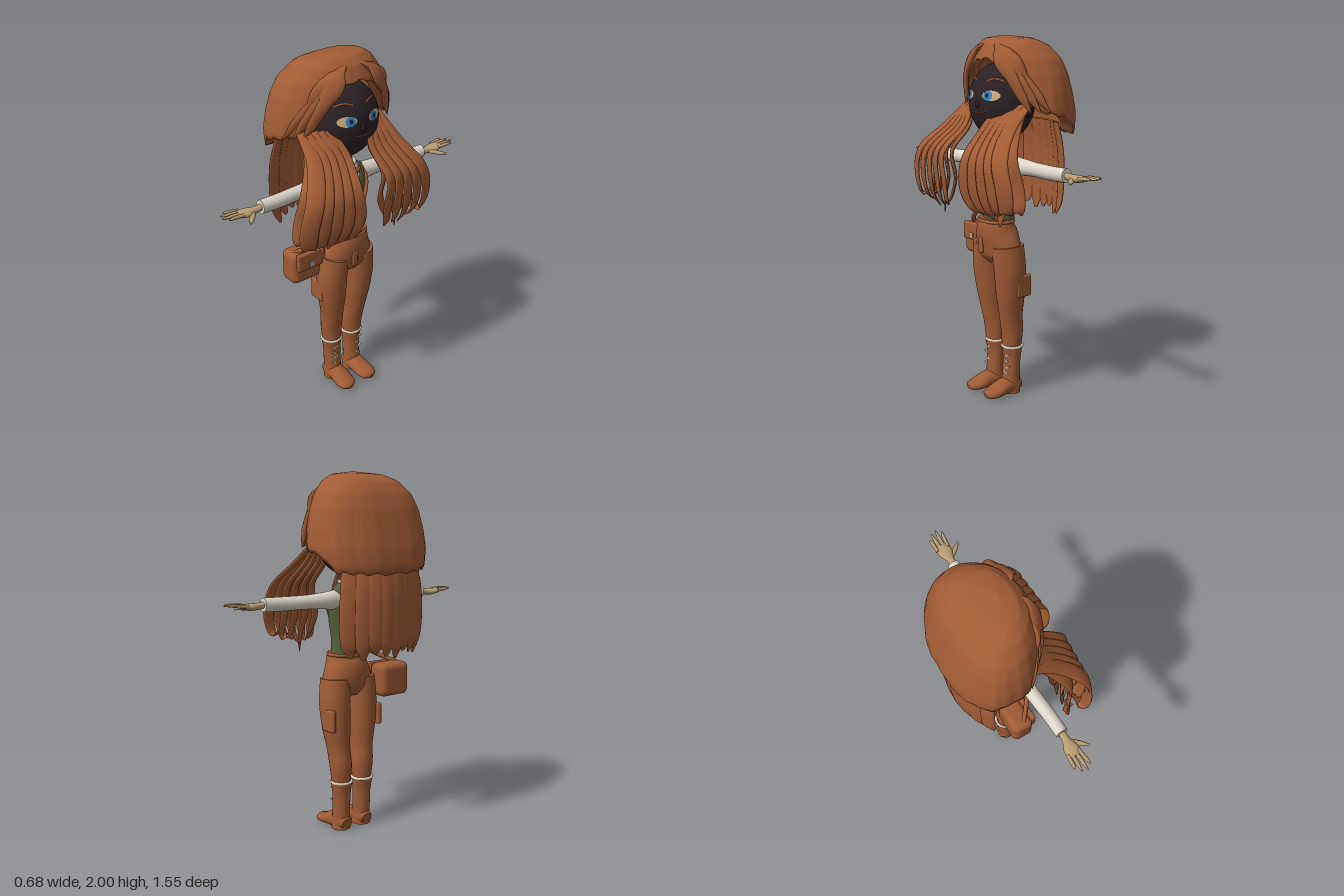
import * as THREE from 'three';
import { RoundedBoxGeometry } from 'three/addons/geometries/RoundedBoxGeometry.js';

const mat = (name, color, side = THREE.FrontSide) => new THREE.MeshStandardMaterial({ name, color, side });
const M = {
  hair: mat('hair brown', 0xa25c35, THREE.DoubleSide),
  leather: mat('leather brown', 0x9f5b34),
  green: mat('vest green', 0x52603a),
  cloth: mat('shirt cream', 0xdcd5c8, THREE.DoubleSide),
  skin: mat('skin tan', 0xba9d73),
  face: mat('face dark', 0x2b2125),
  eye: mat('eye sand', 0xd2b080),
  iris: mat('iris blue', 0x2f86c8),
  metal: mat('buckle metal', 0xb0a487),
};

// Piecewise linear lookup: rows are [key, ...values] with ascending keys
function lookup(rows, k, col = 1) {
  for (let i = 1; i < rows.length; i++) if (k <= rows[i][0] || i === rows.length - 1) {
    const a = rows[i - 1], b = rows[i];
    return THREE.MathUtils.lerp(a[col], b[col], THREE.MathUtils.clamp((k - a[0]) / (b[0] - a[0]), 0, 1));
  }
}

// Smooth sweep of ellipses; rings are [x, y, z, halfWidth, halfDepth], width runs along axis
function sweep(rings, axis = [1, 0, 0], sides = 16, steps = 6) {
  const path = new THREE.CatmullRomCurve3(rings.map(r => new THREE.Vector3(r[0], r[1], r[2])));
  const size = new THREE.CatmullRomCurve3(rings.map(r => new THREE.Vector3(r[3], r[4], 0)));
  const n = (rings.length - 1) * steps, pos = [], idx = [];
  const addRing = t => {
    const p = path.getPoint(t), s = size.getPoint(t), T = path.getTangent(t);
    const W = new THREE.Vector3(...axis).addScaledVector(T, -T.dot(new THREE.Vector3(...axis))).normalize();
    const N = T.clone().cross(W);
    for (let j = 0; j < sides; j++) {
      const a = j / sides * Math.PI * 2;
      const q = p.clone().addScaledVector(W, Math.cos(a) * Math.max(s.x, 0.001)).addScaledVector(N, Math.sin(a) * Math.max(s.y, 0.001));
      pos.push(q.x, q.y, q.z);
    }
    return p;
  };
  for (let i = 0; i <= n; i++) addRing(i / n);
  for (let i = 0; i < n; i++) for (let j = 0; j < sides; j++) {
    const a = i * sides + j, b = i * sides + (j + 1) % sides;
    idx.push(a, b, b + sides, a, b + sides, a + sides);
  }
  for (const end of [0, 1]) {
    const start = pos.length / 3, p = addRing(end), c = pos.length / 3;
    pos.push(p.x, p.y, p.z);
    for (let j = 0; j < sides; j++) {
      const a = start + j, b = start + (j + 1) % sides;
      end ? idx.push(c, a, b) : idx.push(c, b, a);
    }
  }
  return build(pos, idx);
}

function build(pos, idx) {
  const g = new THREE.BufferGeometry();
  g.setAttribute('position', new THREE.Float32BufferAttribute(pos, 3));
  g.setIndex(idx);
  g.computeVertexNormals();
  return g;
}

// Lays a flat geometry onto a surface z = f(x, y)
function drape(geo, x, y, f, lift = 0.004) {
  geo.translate(x, y, 0);
  const p = geo.attributes.position;
  for (let i = 0; i < p.count; i++) p.setZ(i, f(p.getX(i), p.getY(i)) + lift);
  geo.computeVertexNormals();
  return geo;
}

// Torso rows: [y, half width, centre z, half depth]
const torso = [[0.98, 0.103, 0.045, 0.075], [1.08, 0.1, 0.042, 0.08], [1.2, 0.113, 0.045, 0.092],
  [1.29, 0.125, 0.04, 0.088], [1.36, 0.115, 0.03, 0.07], [1.41, 0.06, 0.03, 0.045]];
const torsoZ = (x, y) => {
  const w = lookup(torso, y, 1);
  return lookup(torso, y, 2) + lookup(torso, y, 3) * Math.sqrt(Math.max(0, 1 - (x / w) ** 2));
};
const faceZ = (x, y) => 0.02 + 0.165 * Math.sqrt(Math.max(0, 1 - (x / 0.2) ** 2 - ((y - 1.65) / 0.21) ** 2));

// Hair cap rows: [y, half width, front z, back z, centre z]; hem rows: [degrees from front, y]
const capRows = [[1.45, 0.32, 0.06, -0.325, -0.1], [1.5, 0.345, 0.09, -0.34, -0.1], [1.6, 0.36, 0.12, -0.33, -0.1],
  [1.7, 0.35, 0.145, -0.305, -0.1], [1.8, 0.325, 0.15, -0.28, -0.1], [1.88, 0.29, 0.137, -0.25, -0.09],
  [1.95, 0.225, 0.11, -0.2, -0.06], [1.985, 0.155, 0.07, -0.12, -0.03], [2, 0, 0, 0, 0]];
const hem = [[0, 1.88], [18, 1.86], [29, 1.81], [39, 1.73], [50, 1.65], [63, 1.61], [90, 1.585], [105, 1.55], [120, 1.485], [180, 1.47]];
function hairCap() {
  const cols = 144, rows = 28, pos = [], idx = [], fat = v => Math.sign(v) * Math.abs(v) ** 0.82;
  for (let i = 0; i <= rows + 1; i++) for (let j = 0; j < cols; j++) {
    const a = j / cols * Math.PI * 2, s = Math.min(i / rows, 1);
    const deg = Math.abs(a > Math.PI ? a - Math.PI * 2 : a) * 180 / Math.PI;
    const edge = lookup(hem, deg) + 0.006 * Math.sin(a * 20);
    const y = 2 - (2 - edge) * s ** 1.6, tuck = i > rows ? 0.78 : 1;
    const r = tuck * (1 + 0.005 * s * Math.sin(a * 24) + 0.008 * s * Math.sin(a * 9 + 1));
    // Round at the front, boxier at the back, slightly fuller on the right
    const c0 = Math.cos(a), s0 = Math.sin(a), c = c0 > 0 ? c0 : fat(c0), sn = (c0 > 0 ? s0 : fat(s0)) * (s0 < 0 ? 1.02 : 0.96);
    const mid = lookup(capRows, y, 4), reach = c > 0 ? lookup(capRows, y, 2) - mid : mid - lookup(capRows, y, 3);
    pos.push(lookup(capRows, y) * sn * r, y + (tuck < 1 ? 0.025 : 0), mid + reach * c * r);
  }
  for (let i = 0; i <= rows; i++) for (let j = 0; j < cols; j++) {
    const a = i * cols + j, b = i * cols + (j + 1) % cols;
    idx.push(a, a + cols, b + cols, a, b + cols, b);
  }
  return build(pos, idx);
}

export function createModel() {
  const body = new THREE.Group();
  body.name = 'figure';
  const add = (name, geo, material, x = 0, y = 0, z = 0) => {
    const m = new THREE.Mesh(geo, material);
    m.name = name;
    m.position.set(x, y, z);
    body.add(m);
    return m;
  };

  // Torso, shirt front and neck
  add('vest', sweep(torso.map(([y, w, z, d]) => [0, y, z, w, d]), [1, 0, 0], 28), M.green);
  add('neck', sweep([[0, 1.36, 0.03, 0.05, 0.045], [0, 1.5, 0.02, 0.045, 0.045]]), M.skin);
  const vee = new THREE.PlaneGeometry(1, 0.17, 8, 10);
  for (let i = 0, p = vee.attributes.position; i < p.count; i++) p.setX(i, p.getX(i) * (0.012 + 0.1 * (p.getY(i) / 0.17 + 0.5)));
  add('shirtFront', drape(vee, 0, 1.315, torsoZ, 0.006), M.cloth);
  const collar = add('collar', new THREE.TorusGeometry(0.052, 0.014, 8, 24), M.cloth, 0, 1.405, 0.03);
  collar.rotation.x = Math.PI / 2;
  for (const s of [-1, 1]) {
    add('bowLoop', sweep([[0, 1.375, 0.11, 0.006, 0.008], [s * 0.025, 1.38, 0.115, 0.02, 0.01], [s * 0.045, 1.378, 0.105, 0.017, 0.006]], [0, 1, 0], 10), M.leather);
    add('bowTail', sweep([[0, 1.375, 0.112, 0.006, 0.005], [s * 0.012, 1.345, 0.122, 0.01, 0.005], [s * 0.02, 1.31, 0.135, 0.008, 0.004]], [1, 0, 0], 8), M.leather);
  }
  for (const y of [1.05, 1.11, 1.17, 1.22]) add('button', new THREE.SphereGeometry(0.007, 8, 6), M.metal, 0, y, torsoZ(0, y));

  // Trousers
  add('hips', sweep([[0, 1.015, 0.06, 0.108, 0.088], [0, 0.97, 0.062, 0.118, 0.098], [0, 0.9, 0.05, 0.148, 0.102],
    [0, 0.82, 0.045, 0.168, 0.09], [0, 0.77, 0.04, 0.14, 0.055]], [1, 0, 0], 28), M.leather);
  const belt = add('waistband', new THREE.TorusGeometry(0.1, 0.01, 8, 32), M.leather, 0, 1.005, 0.06);
  belt.rotation.x = Math.PI / 2;
  belt.scale.set(1.06, 0.88, 1);
  add('fob', new RoundedBoxGeometry(0.035, 0.09, 0.015, 2, 0.007), M.leather, -0.02, 0.87, 0.152);

  for (const s of [-1, 1]) {
    // Legs and boots
    add('leg', sweep([[s * 0.085, 0.87, 0.047, 0.08, 0.095], [s * 0.095, 0.74, 0.04, 0.085, 0.092], [s * 0.09, 0.6, 0.032, 0.08, 0.082],
      [s * 0.082, 0.47, 0.022, 0.064, 0.068], [s * 0.077, 0.38, 0.01, 0.064, 0.062], [s * 0.074, 0.27, 0.01, 0.055, 0.052]], [1, 0, 0], 22), M.leather);
    add('boot', sweep([[s * 0.074, 0.28, 0.006, 0.062, 0.058], [s * 0.073, 0.2, 0.008, 0.053, 0.048], [s * 0.073, 0.1, 0.012, 0.051, 0.05],
      [s * 0.073, 0.005, 0.015, 0.054, 0.054]], [1, 0, 0], 20), M.leather);
    add('foot', sweep([[s * 0.073, 0.04, -0.042, 0.035, 0.03], [s * 0.073, 0.048, 0, 0.052, 0.048], [s * 0.074, 0.046, 0.07, 0.054, 0.046],
      [s * 0.078, 0.032, 0.14, 0.058, 0.03], [s * 0.08, 0.027, 0.18, 0.045, 0.024], [s * 0.08, 0.024, 0.198, 0.015, 0.012]], [1, 0, 0], 18), M.leather);
    const cuff = add('bootCuff', new THREE.TorusGeometry(0.057, 0.008, 8, 24), M.cloth, s * 0.074, 0.282, 0.006);
    cuff.rotation.x = Math.PI / 2;
    for (let i = 0; i < 4; i++) {
      const lace = add('lace', new THREE.BoxGeometry(0.035, 0.008, 0.008), M.cloth, s * 0.09 + (i % 2 ? 0.008 : -0.008), 0.13 + i * 0.035, 0.056);
      lace.rotation.z = i % 2 ? 0.5 : -0.5;
    }
    add('thighPocket', new RoundedBoxGeometry(0.03, 0.125, 0.1, 3, 0.012), M.leather, s * 0.163, 0.65, 0);

    // Arms and hands
    add('sleeve', sweep([[s * 0.09, 1.315, 0.03, 0.05, 0.055], [s * 0.18, 1.315, 0.025, 0.045, 0.046], [s * 0.3, 1.315, 0.03, 0.037, 0.038],
      [s * 0.44, 1.315, 0.042, 0.036, 0.038], [s * 0.55, 1.318, 0.046, 0.034, 0.037]], [0, 0, 1], 18), M.cloth);
    add('hand', sweep([[s * 0.54, 1.317, 0.047, 0.018, 0.017], [s * 0.59, 1.313, 0.047, 0.022, 0.018], [s * 0.64, 1.313, 0.045, 0.04, 0.018],
      [s * 0.685, 1.32, 0.042, 0.038, 0.011]], [0, 0, 1], 14), M.skin);
    [[0.01, 0.002, 0.74], [0.031, 0.028, 0.768], [0.053, 0.057, 0.776], [0.073, 0.085, 0.755]].forEach(([z0, z1, tip]) =>
      add('finger', sweep([[s * 0.66, 1.32, z0, 0.01, 0.01], [s * 0.72, 1.326, (z0 + z1) / 2, 0.01, 0.009], [s * tip, 1.328, z1, 0.004, 0.004]], [0, 0, 1], 8, 4), M.skin));
    add('thumb', sweep([[s * 0.595, 1.31, 0.05, 0.014, 0.013], [s * 0.635, 1.302, 0.1, 0.014, 0.011], [s * 0.668, 1.3, 0.137, 0.005, 0.005]], [1, 0, 0], 8, 4), M.skin);

    // Face details
    const oval = (w, h) => new THREE.RingGeometry(0.0001, 1, 24, 4).scale(w, h, 1);
    add('eye', drape(oval(0.05, 0.027), s * 0.088, 1.69, faceZ, 0.003), M.eye);
    add('iris', drape(oval(0.026, 0.027), s * 0.074, 1.69, faceZ, 0.006), M.iris);
    add('pupil', drape(oval(0.01, 0.012), s * 0.074, 1.692, faceZ, 0.009), M.face);
    add('brow', sweep([0.04, 0.085, 0.13].map((x, i) => [s * x, 1.762 + [0, 0.015, 0][i], faceZ(x, 1.77), 0.006, 0.004]), [0, 1, 0], 8), M.hair);
    add('ear', new THREE.SphereGeometry(0.04, 12, 10).scale(0.5, 1, 0.8), M.face, s * 0.195, 1.62, 0);
  }

  // Head
  add('head', new THREE.SphereGeometry(1, 40, 28).scale(0.2, 0.21, 0.165), M.face, 0, 1.65, 0.02);
  add('nose', new THREE.SphereGeometry(0.018, 12, 10).scale(0.9, 1.3, 1), M.face, 0, 1.645, 0.178);
  add('mouth', sweep([-0.06, -0.02, 0.02, 0.06].map(x => [x, 1.6 + x * x * 2, faceZ(x, 1.6), 0.003, 0.003]), [0, 1, 0], 6), M.hair);

  // Hair
  add('hairCap', hairCap(), M.hair);
  for (const s of [-1, 1]) {
    for (const k of [0, 1, 2]) add('bang', sweep([[s * 0.02, 1.955 - k * 0.012, 0.06, 0.015, 0.01], [s * (0.1 + k * 0.02), 1.93 - k * 0.02, 0.105, 0.035, 0.014],
      [s * (0.19 + k * 0.02), 1.8 - k * 0.01, 0.115 - k * 0.025, 0.035, 0.014], [s * (0.24 + k * 0.03), 1.69, 0.08 - k * 0.03, 0.028, 0.012],
      [s * (0.28 + k * 0.035), 1.61, 0.05 - k * 0.035, 0.004, 0.003]], [1, -0.3 * s, -0.5 * s], 10), M.hair);
    // Front tails: two overlapping layers of broad locks arcing forward and down
    const shift = s < 0 ? 0.07 : 0, inner = s < 0 ? 0.02 : -0.035;
    for (let i = 0; i < 9; i++) {
      const u = i / 8, back = 0.015 * u + (i % 2 ? 0.085 : 0), tip = 1.015 + 0.18 * Math.abs(u - 0.35) + 0.02 * (i % 3);
      const o = shift + 0.03 * (i % 2), axis = [1, 0, -s * (i % 2 ? 0.7 : 0.4)];
      add('tailLock', sweep([[s * (0.14 + 0.12 * u + inner), 1.64, 0.1 - 0.07 * u, 0.025, 0.011], [s * (0.11 + 0.17 * u + inner), 1.52, 0.18 - back * 0.6, 0.042, 0.012],
        [s * (0.09 + 0.23 * u + shift), 1.38, 0.305 - back, 0.048, 0.011], [s * (0.07 + 0.29 * u + shift), 1.23, 0.31 - back * 1.2, 0.05, 0.01],
        [s * (0.09 + 0.25 * u + o), 1.12, 0.28 - back * 0.9, 0.036, 0.008], [s * (0.13 + 0.15 * u + o), tip, 0.24 - back * 0.4, 0.003, 0.003]], axis, 10), M.hair);
    }
  }
  // Back fall: a curved row of hanging locks
  for (let i = 0; i < 8; i++) {
    const v = i / 3.5 - 1, x = -0.035 + 0.235 * v, z = -0.3 + 0.07 * v * v, axis = [1, 0, v * 0.5];
    add('backLock', sweep([[x * 0.9, 1.54, z + 0.02, 0.045, 0.012], [x, 1.38, z, 0.052, 0.013], [x * 1.03, 1.2, z, 0.052, 0.012],
      [x, 1.1, z + 0.005, 0.045, 0.01], [x * 0.93, 1.02 + 0.015 * (i % 3), z + 0.015, 0.012, 0.004]], axis, 12), M.hair);
  }

  // Shoulder bag and strap
  add('bag', new RoundedBoxGeometry(0.2, 0.19, 0.125, 5, 0.035), M.leather, -0.245, 0.845, -0.033);
  add('bagFlap', new RoundedBoxGeometry(0.18, 0.1, 0.03, 3, 0.008), M.leather, -0.235, 0.89, 0.035);
  add('buckle', new THREE.BoxGeometry(0.028, 0.032, 0.008), M.metal, -0.24, 0.868, 0.051);
  const strap = [[-0.31, 0.93, -0.02], [-0.2, 0.99, 0.065], [-0.09, 1.06, 0.112], [0, 1.14, 0.137], [0.065, 1.23, 0.125], [0.1, 1.31, 0.09], [0.1, 1.375, 0.03]].map(p => new THREE.Vector3(...p));
  add('strap', new THREE.TubeGeometry(new THREE.CatmullRomCurve3(strap), 40, 0.013, 8), M.leather);

  // The figure faces +x
  body.rotation.y = Math.PI / 2;
  const model = new THREE.Group();
  model.name = 'model';
  model.add(body);
  return model;
}
